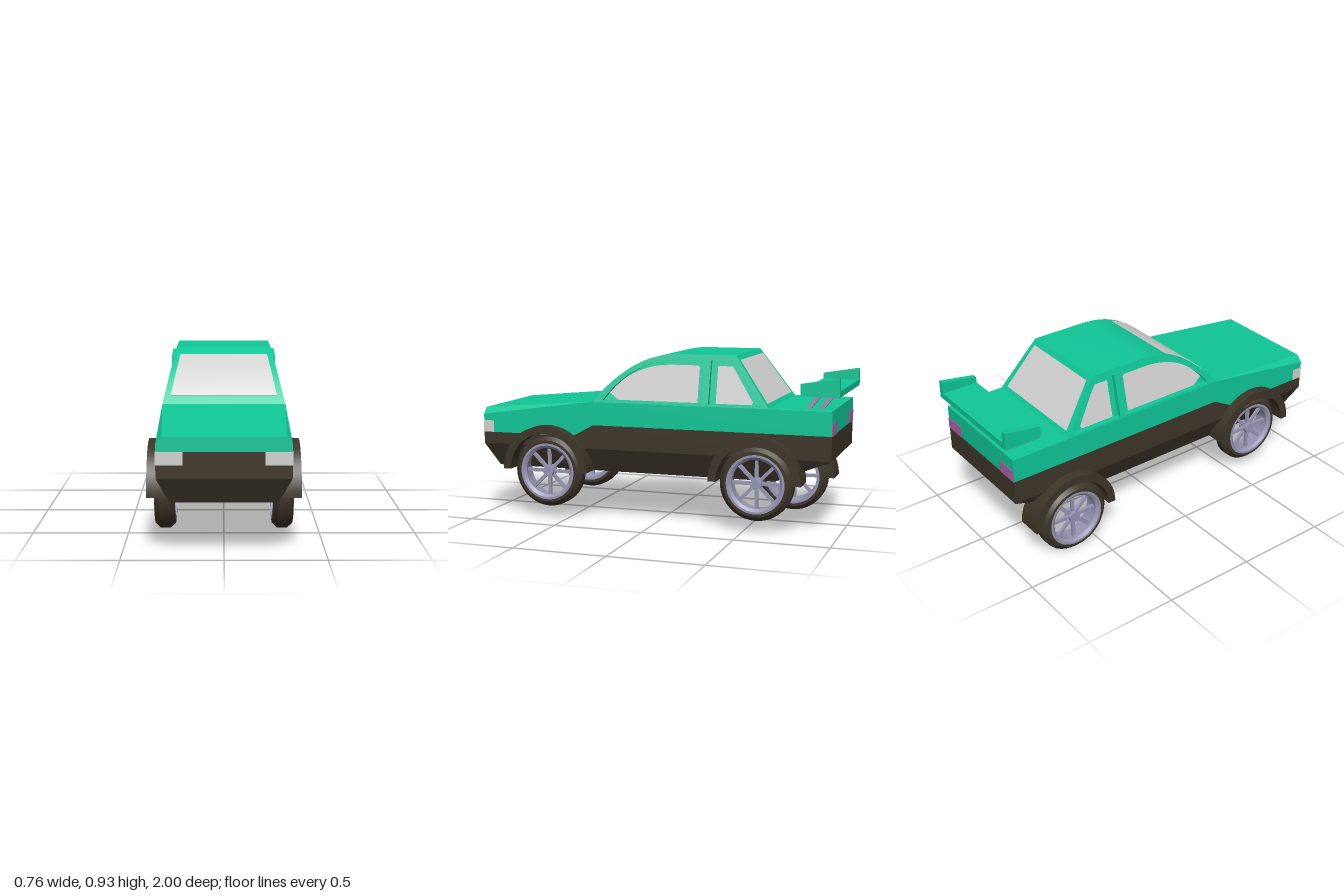
import * as THREE from 'three';
import { toCreasedNormals } from 'three/addons/utils/BufferGeometryUtils.js';

const mat = (name, color, side = THREE.FrontSide) => {
  const m = new THREE.MeshStandardMaterial({ color, side });
  m.name = name;
  return m;
};

export function createModel() {
  const green = mat('green paint', 0x10c898);
  const dark = mat('dark trim', 0x3d3529);
  const glass = mat('pale glass', 0xd2d2d2);
  const metal = mat('lavender metal', 0x9996b4);
  const purple = mat('purple lamp', 0xb062a8);

  const car = new THREE.Group();
  car.name = 'car';
  const add = (name, geo, material, parent = car) => {
    const mesh = new THREE.Mesh(geo, material);
    mesh.name = name;
    parent.add(mesh);
    return mesh;
  };
  const box = (name, x0, x1, y0, y1, z0, z1, material) =>
    add(name, new THREE.BoxGeometry(Math.abs(x1 - x0), y1 - y0, z1 - z0), material)
      .position.set((x0 + x1) / 2, (y0 + y1) / 2, (z0 + z1) / 2);

  // Side-profile shape (z, y) extruded across x, from hi(y) down to lo(y)
  function slab(shape, hi, lo) {
    const geo = new THREE.ExtrudeGeometry(shape, { depth: 1, bevelEnabled: false, curveSegments: 16 });
    const p = geo.attributes.position;
    for (let i = 0; i < p.count; i++) {
      const z = p.getX(i), y = p.getY(i);
      p.setXYZ(i, p.getZ(i) < 0.5 ? hi(y) : lo(y), y, z);
    }
    return toCreasedNormals(geo, 0.5);
  }
  const sideSlab = (shape, s, outer, inner) =>
    s > 0 ? slab(shape, outer, inner) : slab(shape, y => -inner(y), y => -outer(y));
  const poly = pts => new THREE.Shape(pts.map(([z, y]) => new THREE.Vector2(z, y)));

  // Loft through mirrored half sections, listed top to bottom, front to back
  function loft(halves) {
    const v = [];
    const quad = (a, b, c, d) => v.push(...a, ...b, ...c, ...a, ...c, ...d);
    const flip = ([x, y, z]) => [-x, y, z];
    const rings = halves.map(h => [...h, ...h.map(flip).reverse()]);
    for (let j = 0; j < rings.length - 1; j++) {
      const a = rings[j], b = rings[j + 1], n = a.length;
      for (let i = 0; i < n; i++) quad(a[i], a[(i + 1) % n], b[(i + 1) % n], b[i]);
    }
    const f = halves[0], r = halves[halves.length - 1];
    for (let i = 0; i < f.length - 1; i++) {
      quad(f[i], flip(f[i]), flip(f[i + 1]), f[i + 1]);
      quad(r[i], r[i + 1], flip(r[i + 1]), flip(r[i]));
    }
    const geo = new THREE.BufferGeometry();
    geo.setAttribute('position', new THREE.Float32BufferAttribute(v, 3));
    geo.computeVertexNormals();
    return geo;
  }

  // Body: z, paint split height, shoulder height, top half width, top height
  add('upperBody', loft([
    [1, 0.465, 0.565, 0.295, 0.6],
    [0.46, 0.465, 0.643, 0.3195, 0.649],
    [0.34, 0.53, 0.658, 0.3245, 0.66],
    [-0.965, 0.53, 0.658, 0.3245, 0.66],
  ].map(([z, split, ys, xt, yt]) => [[xt, yt, z], [0.325, ys, z], [0.325, split, z]])), green);
  add('lowerBody', loft([
    [1, 0.465, 0.935], [0.46, 0.465, 0.46], [0.34, 0.53, 0.34], [-0.965, 0.53, -0.66],
  ].map(([z, split, zb]) => [[0.325, split, z], [0.325, 0.4, z], [0.263, 0.27, zb]])), dark);

  // Front panel and lamps
  box('grillePanel', -0.195, 0.195, 0.465, 0.53, 0.996, 1.002, dark);
  for (const s of [1, -1]) {
    box('headlight', s * 0.195, s * 0.327, 0.465, 0.53, 0.996, 1.002, glass);
    box('headlightSide', s * 0.321, s * 0.327, 0.465, 0.53, 0.94, 1, glass);
    box('tailLight', s * 0.195, s * 0.325, 0.53, 0.593, -0.968, -0.962, purple);
  }

  // Cabin: solid core with window frames standing proud at each side
  const width = y => 0.325 - (y - 0.66) / 0.265 * 0.062;
  const inner = y => width(y) - 0.025;
  const cabinShape = () => {
    const s = new THREE.Shape();
    s.moveTo(0.34, 0.66);
    s.quadraticCurveTo(0.13, 0.925, -0.14, 0.925);
    s.lineTo(-0.444, 0.925);
    s.lineTo(-0.635, 0.66);
    return s;
  };
  add('cabin', slab(cabinShape(), inner, y => -inner(y)), green);
  const frame = cabinShape();
  const frontHole = new THREE.Path();
  frontHole.moveTo(0.285, 0.668);
  frontHole.quadraticCurveTo(0.12, 0.895, -0.14, 0.895);
  frontHole.lineTo(-0.278, 0.895);
  frontHole.lineTo(-0.278, 0.668);
  const rearHole = poly([[-0.31, 0.668], [-0.31, 0.895], [-0.425, 0.895], [-0.6, 0.668]]);
  frame.holes.push(frontHole, rearHole);

  const frontPane = new THREE.Shape();
  frontPane.moveTo(0.2, 0.672);
  frontPane.lineTo(0.257, 0.712);
  frontPane.quadraticCurveTo(0.12, 0.866, -0.1, 0.866);
  frontPane.lineTo(-0.235, 0.866);
  frontPane.lineTo(-0.245, 0.856);
  frontPane.lineTo(-0.245, 0.672);
  const rearPane = poly([[-0.345, 0.672], [-0.345, 0.866], [-0.425, 0.866], [-0.545, 0.685], [-0.54, 0.672]]);
  for (const s of [1, -1]) {
    add('windowFrame', sideSlab(frame, s, width, inner), green);
    for (const pane of [frontPane, rearPane])
      add('sideWindow', sideSlab(pane, s, y => inner(y) + 0.003, y => inner(y) - 0.003), glass);
  }

  // Windscreen and rear window: thin ribbons following the cabin profile
  const ribbon = (pts, dz, dy) => poly([
    ...pts.map(([z, y]) => [z + dz, y + dy]),
    ...pts.map(([z, y]) => [z - dz, y - dy]).reverse(),
  ]);
  const arc = [];
  for (let i = 0; i <= 16; i++) {
    const y = 0.7 + 0.19 * i / 16;
    const k = Math.sqrt((0.925 - y) / 0.265), t = 1 - k;
    arc.push([k * k * 0.34 + 2 * k * t * 0.13 - t * t * 0.14, y]);
  }
  const screenW = y => 0.283 - (y - 0.7) / 0.19 * 0.043;
  add('windscreen', slab(ribbon(arc, 0.002, 0.004), screenW, y => -screenW(y)), glass);
  const rearW = y => 0.283 - (y - 0.68) / 0.22 * 0.043;
  add('rearWindow', slab(ribbon([[-0.62, 0.68], [-0.462, 0.9]], -0.003, 0.002), rearW, y => -rearW(y)), glass);

  // Rear wing on slanted struts
  box('wingBoard', -0.3, 0.3, 0.73, 0.762, -1, -0.8, green);
  const endPlate = poly([[-0.8, 0.73], [-0.8, 0.793], [-1, 0.826], [-1, 0.73]]);
  for (const s of [1, -1]) {
    add('wingEndPlate', sideSlab(endPlate, s, () => 0.325, () => 0.295), green);
    for (const z of [-0.805, -0.872]) {
      const strut = poly([[z, 0.655], [z - 0.03, 0.655], [z - 0.093, 0.735], [z - 0.063, 0.735]]);
      add('wingStrut', sideSlab(strut, s, () => 0.235, () => 0.205), metal);
    }
  }

  // Wheels: turned tyre and rim, hub and eight spokes
  const turned = pts => toCreasedNormals(
    new THREE.LatheGeometry(pts.map(([r, y]) => new THREE.Vector2(r, y)), 40), 0.4);
  const tyreGeo = turned([[0.155, -0.051], [0.173, -0.051], [0.197, -0.026], [0.197, 0.026],
    [0.173, 0.051], [0.155, 0.051], [0.155, -0.051]]);
  const rimGeo = turned([[0.14, -0.053], [0.157, -0.053], [0.157, 0.053], [0.145, 0.053],
    [0.13, 0.04], [0.14, -0.053]]);
  const hubGeo = new THREE.CylinderGeometry(0.03, 0.03, 0.06, 16);
  const spokeGeo = new THREE.BoxGeometry(0.12, 0.016, 0.018).translate(0.078, 0.015, 0);

  function wheel(s, x, y, z) {
    const g = new THREE.Group();
    g.name = 'wheel';
    add('tyre', tyreGeo, dark, g);
    add('rim', rimGeo, metal, g);
    add('hub', hubGeo, metal, g).position.y = 0.012;
    for (let i = 0; i < 8; i++) add('spoke', spokeGeo, metal, g).rotation.y = i * Math.PI / 4;
    g.rotation.z = -s * Math.PI / 2;
    g.position.set(s * x, y, z);
    car.add(g);
  }

  // Half-ring wheel arches
  function arch(s, y, z) {
    const ring = new THREE.Shape();
    ring.absarc(z, y, 0.248, 0, Math.PI, false);
    ring.absarc(z, y, 0.205, Math.PI, 0, true);
    add('wheelArch', sideSlab(ring, s, () => 0.38, () => 0.24), dark);
  }

  // side, wheel x, wheel y, wheel z; the right rear corner sits lower and further back
  for (const [s, x, y, z] of [[1, 0.295, 0.262, 0.607], [-1, 0.295, 0.262, 0.607],
    [1, 0.295, 0.262, -0.573], [-1, 0.325, 0.197, -0.638]]) {
    wheel(s, x, y, z);
    arch(s, y + 0.01, z);
  }
  return car;
}
